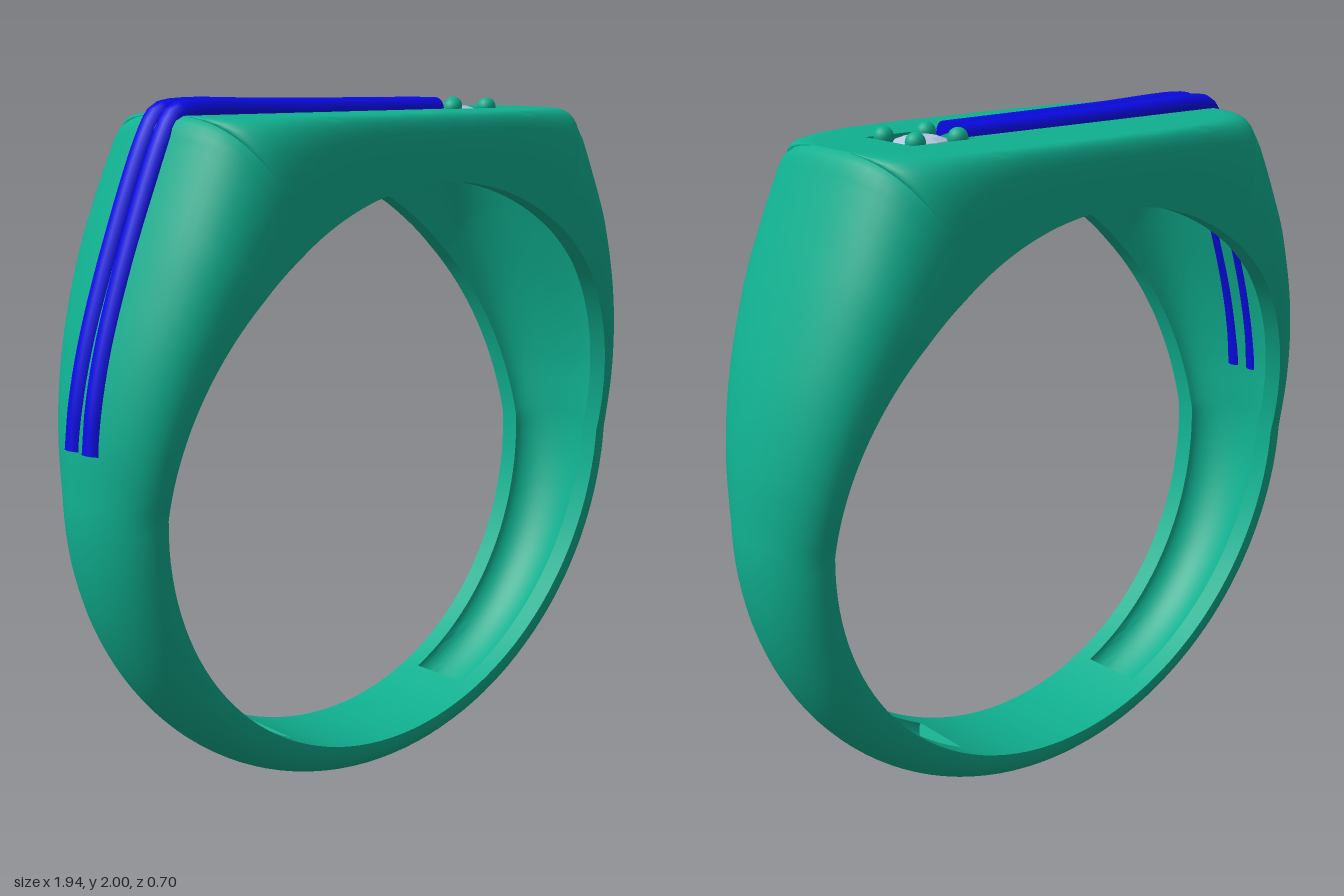
import * as THREE from 'three';
import { toCreasedNormals } from 'three/addons/utils/BufferGeometryUtils.js';

const CY = 0.94, HOLE = 0.83, TOP = 1.955, FLAT = 0.665, WALL = 0.05;
const green = new THREE.MeshStandardMaterial({ color: 0x10b090 });
const blue = new THREE.MeshStandardMaterial({ color: 0x0a0ae6 });
const crystal = new THREE.MeshStandardMaterial({ color: 0xb4c6de, flatShading: true });

// half depth of the ring at the height of the finger hole edge
const WIDTHS = [[0.11, 0.155], [0.94, 0.205], [1.25, 0.278], [1.5, 0.337], [1.6, 0.35], [1.78, 0.352]];
function halfWidth(y) {
  for (let i = 1; i < WIDTHS.length; i++) {
    const [y0, w0] = WIDTHS[i - 1], [y1, w1] = WIDTHS[i];
    if (y <= y1) return w0 + (w1 - w0) * Math.max(0, (y - y0) / (y1 - y0));
  }
  return 0.352;
}

// half depth of the flat table at x
const tableHalf = (x) => 0.3 * Math.sqrt(Math.max(0, 1 - (Math.abs(x) / FLAT) ** 4));

// stations along the outer outline: bottom, up the left side, to the top centre
function halfOutline() {
  const out = [];
  const arc = (a0, a1, n, hollow) => {
    for (let i = 0; i <= n; i++) {
      const a = THREE.MathUtils.degToRad(a0 + (a1 - a0) * i / n);
      out.push({ x: 0.967 * Math.cos(a), y: CY + CY * Math.sin(a), hollow, flat: false });
    }
  };
  arc(-90, -66, 8, false);
  arc(-66, 0, 24, true); // repeated angle makes the end wall of the hollow
  const side = new THREE.CatmullRomCurve3([
    [0.967, 0.94], [0.953, 1.15], [0.912, 1.35], [0.836, 1.58], [0.74, 1.82], [0.7, 1.915], [0.69, 1.94], [FLAT, TOP],
  ].map(([x, y]) => new THREE.Vector3(x, y, 0)));
  for (let i = 1; i <= 48; i++) {
    const p = side.getPointAt(i / 48);
    out.push({ x: p.x, y: p.y, hollow: true, flat: i === 48 });
  }
  for (let i = 1; i <= 24; i++) out.push({ x: FLAT * (1 - (i / 24) ** 2), y: TOP, hollow: true, flat: true });
  out[0].x = 0;
  return out;
}

const STEPS = 12;
// D-shaped half section from the hole edge to the tip, then mirrored in z
function profile(base, dir, depth, w, zEnd, e) {
  const half = [];
  for (let i = 0; i <= STEPS; i++) {
    const a = i / STEPS * Math.PI / 2;
    const r = depth * Math.sin(a) ** e;
    const z = zEnd + (w - zEnd) * Math.max(0, Math.cos(a)) ** e;
    half.push(new THREE.Vector3(base.x + dir.x * r, base.y + dir.y * r, z));
  }
  return [...half, ...half.map((p) => new THREE.Vector3(p.x, p.y, -p.z)).reverse()];
}

// closed section: outer skin, rim, hollow inside, rim
function section(s) {
  const centre = new THREE.Vector3(0, CY, 0);
  const dir = new THREE.Vector3(s.x, s.y, 0).sub(centre);
  const depth = dir.length() - HOLE;
  dir.normalize();
  const base = centre.addScaledVector(dir, HOLE);
  const w = halfWidth(base.y), zEnd = s.flat ? tableHalf(s.x) : 0;
  const e = 1 - 0.3 * THREE.MathUtils.smoothstep(s.y, 0.94, 1.8);
  const outer = profile(base, dir, depth, w, zEnd, e);
  const inner = profile(base, dir, s.hollow ? depth - WALL : 0, w - 0.06, zEnd * 0.8, e);
  return [...outer, ...inner.reverse()];
}

function bandGeometry(stations) {
  const rings = stations.map(section), n = rings[0].length, pos = [];
  for (let i = 0; i < rings.length; i++) {
    const k = (i + 1) % rings.length;
    for (let j = 0; j < n; j++) {
      if (j === STEPS && stations[i].flat && stations[k].flat) continue; // closed by the table
      const m = (j + 1) % n;
      const a = rings[i][j], b = rings[i][m], c = rings[k][m], d = rings[k][j];
      for (const t of [[a, b, c], [a, c, d]]) {
        const area = t[1].clone().sub(t[0]).cross(t[2].clone().sub(t[0])).length();
        if (area > 1e-10) t.forEach((p) => pos.push(p.x, p.y, p.z));
      }
    }
  }
  const g = new THREE.BufferGeometry();
  g.setAttribute('position', new THREE.Float32BufferAttribute(pos, 3));
  return toCreasedNormals(g, 0.6);
}

// flat table with a square pocket
function tableGeometry(stations, px, half) {
  const xs = stations.filter((s) => s.flat).map((s) => s.x);
  const edge = xs.map((x) => new THREE.Vector2(x, tableHalf(x)));
  const back = xs.slice(1, -1).reverse().map((x) => new THREE.Vector2(x, -tableHalf(x)));
  const shape = new THREE.Shape([...edge, ...back]);
  shape.holes.push(new THREE.Path([[-1, -1], [-1, 1], [1, 1], [1, -1]]
    .map(([u, v]) => new THREE.Vector2(px + u * half, v * half))));
  const g = new THREE.ExtrudeGeometry(shape, { depth: 0.035, bevelEnabled: false });
  return g.rotateX(-Math.PI / 2).translate(0, TOP - 0.035, 0);
}

export function createModel() {
  const model = new THREE.Group();
  const add = (name, geometry, material, parent = model) => {
    const mesh = new THREE.Mesh(geometry, material);
    mesh.name = name;
    parent.add(mesh);
    return mesh;
  };

  // ring body
  const half = halfOutline();
  const mirrored = half.slice(1, -1).reverse().map((s) => ({ ...s, x: -s.x }));
  const stations = [...half, ...mirrored];
  add('band', bandGeometry(stations), green);
  const px = 0.375;
  add('table', tableGeometry(stations, px, 0.105), green);
  add('pocketFloor', new THREE.BoxGeometry(0.22, 0.006, 0.22).translate(px, TOP - 0.036, 0), green);

  // faceted stone and its four beads
  const gem = new THREE.LatheGeometry([[0, -0.03], [0.06, -0.025], [0.088, -0.008], [0.072, 0.01], [0.045, 0.02], [0, 0.022]]
    .map(([r, y]) => new THREE.Vector2(r, y)), 10);
  add('stone', gem, crystal).position.set(px, TOP - 0.015, 0);
  for (const u of [-1, 1]) for (const v of [-1, 1]) {
    add('bead', new THREE.SphereGeometry(0.028, 16, 12), green).position.set(px + u * 0.07, 1.957, v * 0.07);
  }

  // twin inlaid strands over the table and down the right shoulder
  for (const side of [1, -1]) {
    const strand = new THREE.Group();
    strand.name = 'strand';
    model.add(strand);
    const path = new THREE.CatmullRomCurve3([
      [0.27, 1.951], [0, 1.953], [-0.3, 1.956], [-0.6, 1.961], [-0.655, 1.952], [-0.69, 1.9],
      [-0.805, 1.62], [-0.885, 1.38], [-0.922, 1.22], [-0.937, 1.1],
    ].map(([x, y], i) => new THREE.Vector3(x, y, side * (0.034 + 0.0007 * i))));
    const r = 0.037;
    add('strandTube', new THREE.TubeGeometry(path, 90, r, 16), blue, strand);
    for (const t of [0, 1]) {
      const cap = add('strandEnd', new THREE.CircleGeometry(r, 16), blue, strand);
      const p = path.getPointAt(t);
      cap.position.copy(p);
      cap.lookAt(p.clone().addScaledVector(path.getTangentAt(t), t ? 1 : -1));
    }
  }
  return model;
}
